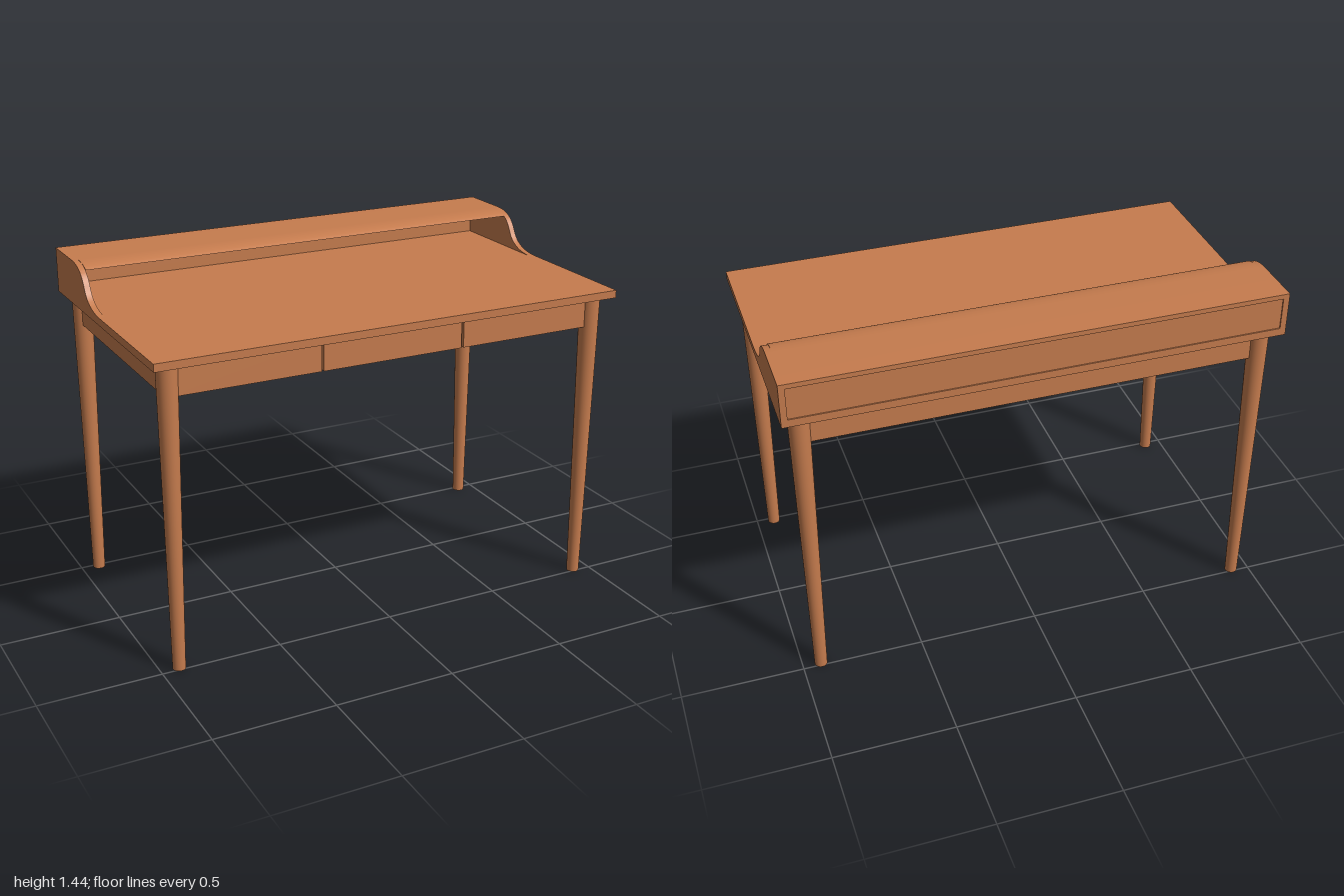
import * as THREE from 'three';
import { toCreasedNormals } from 'three/addons/utils/BufferGeometryUtils.js';

export function createModel() {
  const desk = new THREE.Group();
  desk.name = 'writingDesk';
  const wood = new THREE.MeshStandardMaterial({ color: 0xc67c4e });
  wood.name = 'warm wood';

  const add = (name, geometry, x = 0, y = 0, z = 0) => {
    const mesh = new THREE.Mesh(geometry, wood);
    mesh.name = name;
    mesh.position.set(x, y, z);
    desk.add(mesh);
    return mesh;
  };

  // Box given by its lower and upper limits on each axis
  const box = (name, [x0, x1], [y0, y1], [z0, z1]) =>
    add(name, new THREE.BoxGeometry(x1 - x0, y1 - y0, z1 - z0),
      (x0 + x1) / 2, (y0 + y1) / 2, (z0 + z1) / 2);

  // Extrudes a (z, y) profile along x, centred on x = 0
  const extrudeAcross = (shape, width) => {
    const g = new THREE.ExtrudeGeometry(shape, { depth: width, bevelEnabled: false, curveSegments: 16 });
    g.translate(0, 0, -width / 2);
    g.rotateY(-Math.PI / 2);
    return toCreasedNormals(g, Math.PI / 6);
  };

  const underside = 1.255, surface = 1.287, crest = 1.44, apronBottom = 1.13;

  // Table top and closed apron
  box('tableTop', [-1, 1], [underside, surface], [-0.56, 0.56]);
  box('apron', [-0.94, 0.94], [apronBottom, underside], [-0.5, 0.485]);

  // Three drawer fronts with narrow gaps
  const drawers = [[-0.94, -0.312], [-0.302, 0.302], [0.312, 0.94]];
  drawers.forEach((span, i) =>
    box(`drawerFront${i + 1}`, span, [apronBottom, underside], [0.485, 0.505]));

  // Tapered round legs
  const legGeometry = new THREE.CylinderGeometry(0.042, 0.026, underside, 32);
  for (const x of [-0.925, 0.925])
    for (const z of [-0.485, 0.485])
      add(`${z > 0 ? 'front' : 'back'}${x > 0 ? 'Left' : 'Right'}Leg`, legGeometry, x, underside / 2, z);

  // S-curved side panels of the raised shelf
  const side = new THREE.Shape();
  side.moveTo(-0.56, surface);
  side.lineTo(-0.04, surface);
  side.bezierCurveTo(-0.12, 1.29, -0.175, 1.31, -0.2, 1.36);
  side.bezierCurveTo(-0.225, 1.41, -0.26, 1.437, -0.34, crest);
  side.lineTo(-0.56, crest);
  side.closePath();
  const sideGeometry = extrudeAcross(side, 0.025);
  for (const s of [-1, 1])
    add(s > 0 ? 'leftShelfSide' : 'rightShelfSide', sideGeometry, s * 0.9875);

  // Shelf roof with a rounded nose, open at the front below it
  const roof = new THREE.Shape();
  roof.moveTo(-0.56, 1.42);
  roof.lineTo(-0.247, 1.42);
  roof.bezierCurveTo(-0.265, 1.432, -0.295, 1.439, -0.34, crest);
  roof.lineTo(-0.56, crest);
  roof.closePath();
  add('shelfRoof', extrudeAcross(roof, 1.95));

  // Back panel set slightly in from the frame
  box('shelfBack', [-0.975, 0.975], [surface, 1.42], [-0.555, -0.535]);

  return desk;
}
